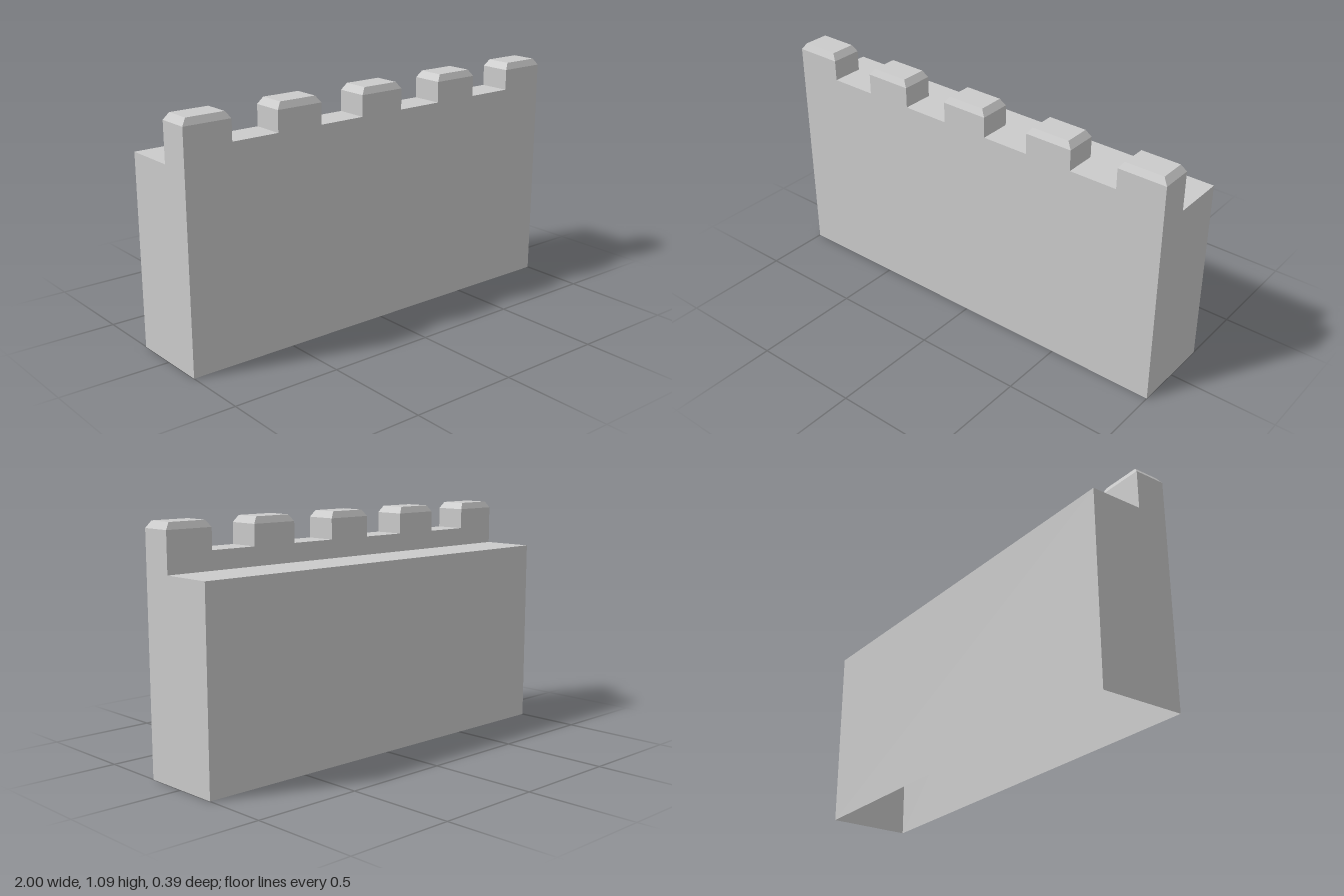
import * as THREE from 'three';

const HALF_DEPTH = 0.197, PARAPET_Z = 0.05;
const LEDGE_Y = 0.875, CRENEL_Y = 0.96, MERLON_Y = 1.055, TOP_Y = 1.085;
const SEGMENTS = 9, STEP = 2 / SEGMENTS;
const BEVEL_X = 0.022, BEVEL_Z = 0.014;

const material = new THREE.MeshStandardMaterial({ color: 0xcccccc, flatShading: true, side: THREE.DoubleSide });

function add(group, name, geometry, x = 0, y = 0, z = 0) {
  const mesh = new THREE.Mesh(geometry, material);
  mesh.name = name;
  mesh.position.set(x, y, z);
  group.add(mesh);
  return mesh;
}

// Stepped outline of the battlements, left to right
function battlementOutline() {
  const points = [];
  for (let i = 0; i < SEGMENTS; i++) {
    const y = i % 2 ? CRENEL_Y : MERLON_Y, x = -1 + i * STEP;
    points.push(new THREE.Vector2(x, y), new THREE.Vector2(x + STEP, y));
  }
  return points;
}

// Flat wall from a base height up to the battlements
function battlementWall(baseY) {
  return new THREE.ShapeGeometry(new THREE.Shape([
    new THREE.Vector2(1, baseY), ...battlementOutline().reverse(), new THREE.Vector2(-1, baseY),
  ]));
}

// Box with an inset top and no underside
function capGeometry() {
  const height = TOP_Y - MERLON_Y, depth = HALF_DEPTH - PARAPET_Z;
  const geometry = new THREE.BoxGeometry(STEP, height, depth);
  const p = geometry.attributes.position;
  for (let i = 0; i < p.count; i++) {
    if (p.getY(i) > 0) {
      p.setX(i, p.getX(i) - Math.sign(p.getX(i)) * BEVEL_X);
      p.setZ(i, p.getZ(i) - Math.sign(p.getZ(i)) * BEVEL_Z);
    }
  }
  const index = Array.from(geometry.index.array);
  index.splice(18, 6);
  geometry.setIndex(index);
  geometry.clearGroups();
  geometry.computeVertexNormals();
  return geometry;
}

export function createModel() {
  const group = new THREE.Group();
  group.name = 'battlementWall';
  const parapetDepth = HALF_DEPTH - PARAPET_Z, parapetMid = (HALF_DEPTH + PARAPET_Z) / 2;

  // Front wall and the inner face of the parapet
  add(group, 'frontWall', battlementWall(0), 0, 0, HALF_DEPTH);
  const inner = battlementWall(LEDGE_Y).rotateY(Math.PI);
  add(group, 'parapetInnerFace', inner, 0, 0, PARAPET_Z);

  // Back wall and walkway
  add(group, 'backWall', new THREE.PlaneGeometry(2, LEDGE_Y).rotateY(Math.PI), 0, LEDGE_Y / 2, -HALF_DEPTH);
  const walkDepth = HALF_DEPTH + PARAPET_Z;
  add(group, 'walkway', new THREE.PlaneGeometry(2, walkDepth).rotateX(-Math.PI / 2),
    0, LEDGE_Y, (PARAPET_Z - HALF_DEPTH) / 2);

  // Stepped end walls
  for (const side of [1, -1]) {
    const outline = [
      [-HALF_DEPTH, 0], [HALF_DEPTH, 0], [HALF_DEPTH, LEDGE_Y],
      [-PARAPET_Z, LEDGE_Y], [-PARAPET_Z, MERLON_Y], [-HALF_DEPTH, MERLON_Y],
    ].map(([u, v]) => new THREE.Vector2(u * side, v));
    const end = new THREE.ShapeGeometry(new THREE.Shape(outline)).rotateY(side * Math.PI / 2);
    add(group, side > 0 ? 'leftEndWall' : 'rightEndWall', end, side, 0, 0);
  }

  // Merlon caps, crenel floors and crenel sides
  const cap = capGeometry();
  const floor = new THREE.PlaneGeometry(STEP, parapetDepth).rotateX(-Math.PI / 2);
  const cheekHeight = MERLON_Y - CRENEL_Y;
  for (let i = 0; i < SEGMENTS; i++) {
    const x = -1 + (i + 0.5) * STEP;
    if (i % 2 === 0) {
      add(group, 'merlonCap', cap, x, (MERLON_Y + TOP_Y) / 2, parapetMid);
      continue;
    }
    add(group, 'crenelFloor', floor, x, CRENEL_Y, parapetMid);
    for (const side of [1, -1]) {
      const cheek = new THREE.PlaneGeometry(parapetDepth, cheekHeight).rotateY(-side * Math.PI / 2);
      add(group, 'crenelSide', cheek, x + side * STEP / 2, CRENEL_Y + cheekHeight / 2, parapetMid);
    }
  }
  return group;
}
